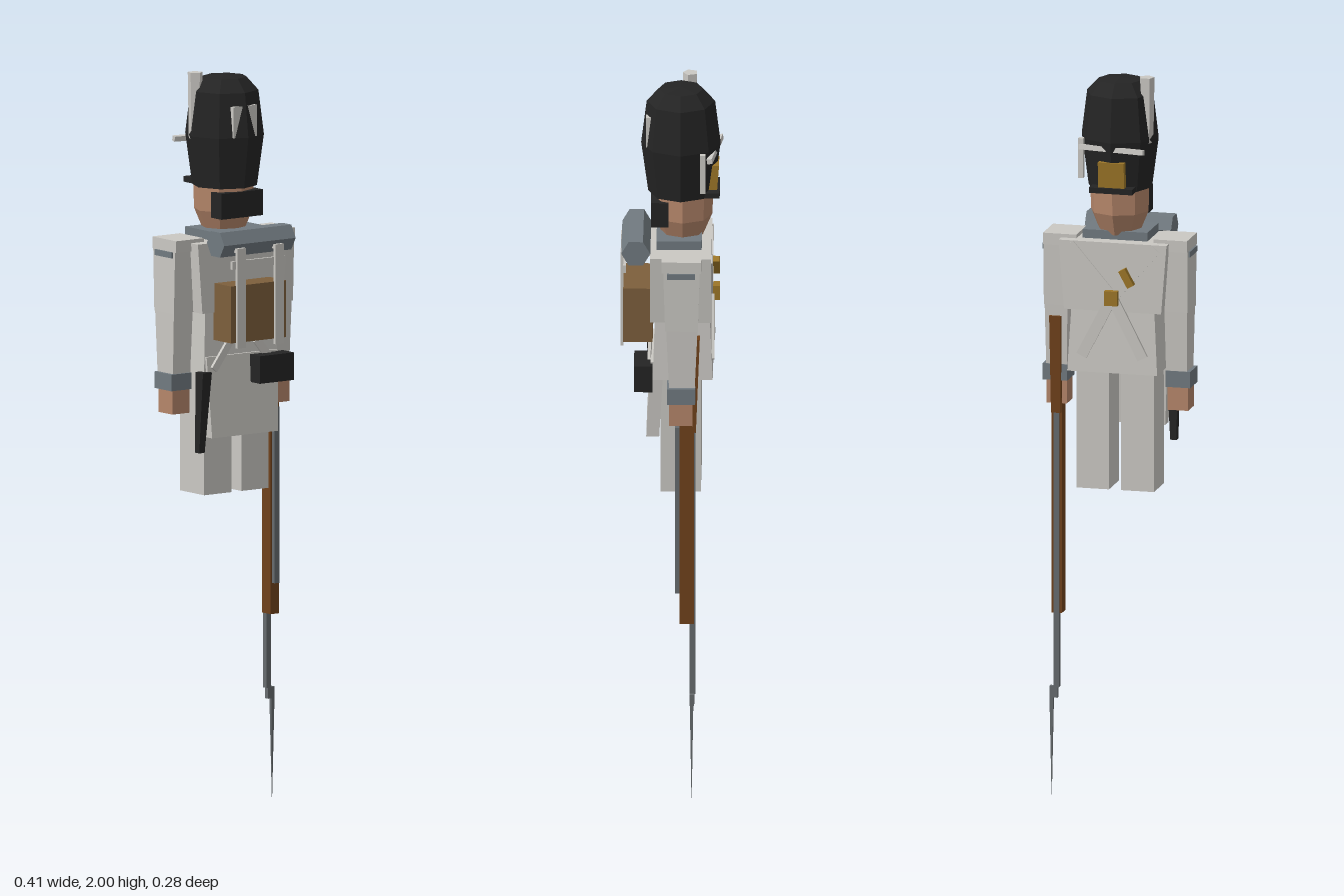
import * as THREE from 'three';

const mat = (name, color) => new THREE.MeshStandardMaterial({ name, color });

export function createModel() {
  const root = new THREE.Group();
  root.name = 'toySoldier';
  const white = mat('coatWhite', 0xcac8c3);
  const blue = mat('facingBlueGrey', 0x717a80);
  const black = mat('feltBlack', 0x242424);
  const skin = mat('skin', 0xb5866a);
  const leather = mat('packBrown', 0x7d5f3c);
  const wood = mat('stockWood', 0x70421c);
  const gold = mat('brass', 0x9c7628);
  const steel = mat('steel', 0x666b6e);

  const add = (name, geo, material, parent = root) => {
    const g = geo.index ? geo.toNonIndexed() : geo;
    g.computeVertexNormals(); // faceted normals
    const m = new THREE.Mesh(g, material);
    m.name = name;
    parent.add(m);
    return m;
  };

  // Block from its extents; the ends may be tapered and the bottom shifted
  const block = (name, material, [x0, x1], [y0, y1], [z0, z1], o = {}) => {
    const g = new THREE.BoxGeometry(x1 - x0, y1 - y0, z1 - z0);
    const p = g.attributes.position;
    const [tx, tz] = o.top || [1, 1], [bx, bz] = o.bottom || [1, 1], [sx, sz] = o.shift || [0, 0];
    for (let i = 0; i < p.count; i++) {
      const up = p.getY(i) > 0;
      p.setX(i, p.getX(i) * (up ? tx : bx) + (up ? 0 : sx));
      p.setZ(i, p.getZ(i) * (up ? tz : bz) + (up ? 0 : sz));
    }
    g.translate((x0 + x1) / 2, (y0 + y1) / 2, (z0 + z1) / 2);
    return add(name, g, material);
  };

  // Square-section bar between two points
  const bar = (name, material, a, b, w, d = w) => {
    const A = new THREE.Vector3(...a), B = new THREE.Vector3(...b);
    const m = add(name, new THREE.BoxGeometry(w, A.distanceTo(B), d), material);
    m.position.copy(A).add(B).multiplyScalar(0.5);
    m.quaternion.setFromUnitVectors(new THREE.Vector3(0, 1, 0), B.sub(A).normalize());
    return m;
  };

  const lathe = (name, material, pts, z) => {
    const g = new THREE.LatheGeometry(pts.map(([r, y]) => new THREE.Vector2(r, y)), 8);
    return add(name, g.translate(0, 0, z), material);
  };

  // Tall fur cap with peak, plate, rear patch, plume and cord
  lathe('cap', black, [[0, 1.69], [0.088, 1.69], [0.107, 1.83], [0.092, 1.95], [0.06, 1.985], [0, 1.99]], -0.025);
  block('capPeak', black, [-0.06, 0.06], [1.69, 1.705], [-0.13, -0.05]);
  block('capPlate', gold, [-0.036, 0.036], [1.705, 1.775], [-0.128, -0.1], { shift: [0, 0.005] });
  block('capPatch', white, [-0.04, 0.04], [1.83, 1.915], [0.045, 0.068]);
  const plume = add('plume', new THREE.CylinderGeometry(0.021, 0.018, 0.18, 5), white);
  plume.position.set(-0.08, 1.91, -0.05);
  bar('capCord', white, [-0.092, 1.81, -0.131], [0.093, 1.81, -0.103], 0.014);
  block('cordTassel', white, [0.086, 0.1], [1.72, 1.83], [-0.092, -0.078]);

  // Head, hair and collar
  lathe('head', skin, [[0, 1.56], [0.055, 1.565], [0.08, 1.625], [0.082, 1.7], [0, 1.7]], -0.03);
  block('hair', black, [-0.07, 0.07], [1.61, 1.68], [0.008, 0.055]);
  block('collar', blue, [-0.09, 0.09], [1.553, 1.577], [-0.082, 0.04]);

  // Coat
  block('chest', white, [-0.15, 0.15], [1.36, 1.55], [-0.108, 0.056], { bottom: [0.9, 1] });
  block('waist', white, [-0.125, 0.125], [1.19, 1.37], [-0.112, 0.05], { top: [0.92, 0.9] });
  block('coatTails', white, [-0.12, 0.12], [1.02, 1.24], [0.02, 0.055], { bottom: [0.92, 1], shift: [0, 0.012] });

  // Arms and legs
  for (const s of [-1, 1]) {
    const span = (a, b) => (s > 0 ? [a, b] : [-b, -a]);
    block('shoulder', white, span(0.107, 0.2), [1.528, 1.56], [-0.082, 0.025]);
    block('shoulderPiping', blue, span(0.13, 0.205), [1.512, 1.528], [-0.066, 0.01]);
    block('upperArm', white, span(0.13, 0.2), [1.36, 1.528], [-0.078, 0.02], { bottom: [1, 0.9] });
    block('forearm', white, span(0.135, 0.198), [1.19, 1.36], [-0.072, 0.012], { bottom: [0.92, 0.82] });
    block('cuff', blue, span(0.137, 0.205), [1.15, 1.195], [-0.066, 0.01]);
    block('hand', skin, span(0.14, 0.197), [1.085, 1.15], [-0.058, 0.004]);
    block('leg', white, span(0.017, 0.108), [0.86, 1.2], [-0.08, 0.028]);
    // Crossed chest belts
    bar('lowerBelt', white, [0, 1.4, -0.111], [s * 0.085, 1.235, -0.112], 0.03, 0.008);
    bar('upperBelt', white, [0, 1.4, -0.109], [s * 0.12, 1.54, -0.109], 0.03, 0.006);
    // Pack straps
    const x = s * 0.064;
    block('packStrap', white, [x - 0.014, x + 0.014], [1.27, 1.535], [0.129, 0.137]);
    block('packStrapTop', white, [x - 0.014, x + 0.014], [1.53, 1.542], [0.03, 0.137]);
    bar('tailStrap', white, [s * 0.045, 1.275, 0.057], [s * 0.1, 1.205, 0.06], 0.022, 0.008);
  }

  // Chest brass
  const buckle = block('beltBuckle', gold, [-0.018, 0.018], [1.38, 1.42], [-0.13, -0.105]);
  buckle.name = 'beltBuckle';
  bar('beltPin', gold, [-0.03, 1.48, -0.12], [-0.055, 1.435, -0.12], 0.02, 0.018);

  // Pack and blanket roll
  block('pack', leather, [-0.094, 0.09], [1.285, 1.44], [0.05, 0.13]);
  block('packCrossStrap', white, [-0.09, 0.09], [1.485, 1.507], [0.122, 0.13]);
  const roll = new THREE.CylinderGeometry(0.039, 0.039, 0.24, 6).rotateZ(Math.PI / 2);
  roll.translate(0, 1.553, 0.095);
  add('blanketRoll', roll, blue);

  // Cartridge pouch and scabbard
  block('cartridgePouch', black, [0.025, 0.14], [1.16, 1.235], [0.05, 0.1]);
  block('scabbard', black, [-0.142, -0.112], [0.98, 1.2], [0.035, 0.068], { bottom: [0.6, 0.6], shift: [-0.006, -0.01] });

  // Musket held muzzle down
  block('musketButt', wood, [0.152, 0.184], [1.06, 1.33], [-0.078, -0.03], { bottom: [0.85, 0.9], shift: [0, 0.008] });
  block('musketStock', wood, [0.153, 0.181], [0.505, 1.1], [-0.062, -0.023]);
  block('musketBarrel', steel, [0.16, 0.175], [0.3, 1.06], [-0.066, -0.05]);
  block('ramrod', steel, [0.158, 0.174], [0.59, 1.07], [-0.023, -0.011]);
  block('bayonetSocket', steel, [0.165, 0.187], [0.27, 0.302], [-0.063, -0.05]);
  block('bayonet', steel, [0.177, 0.188], [0, 0.29], [-0.061, -0.051], { bottom: [0.08, 0.08] });

  return root;
}
